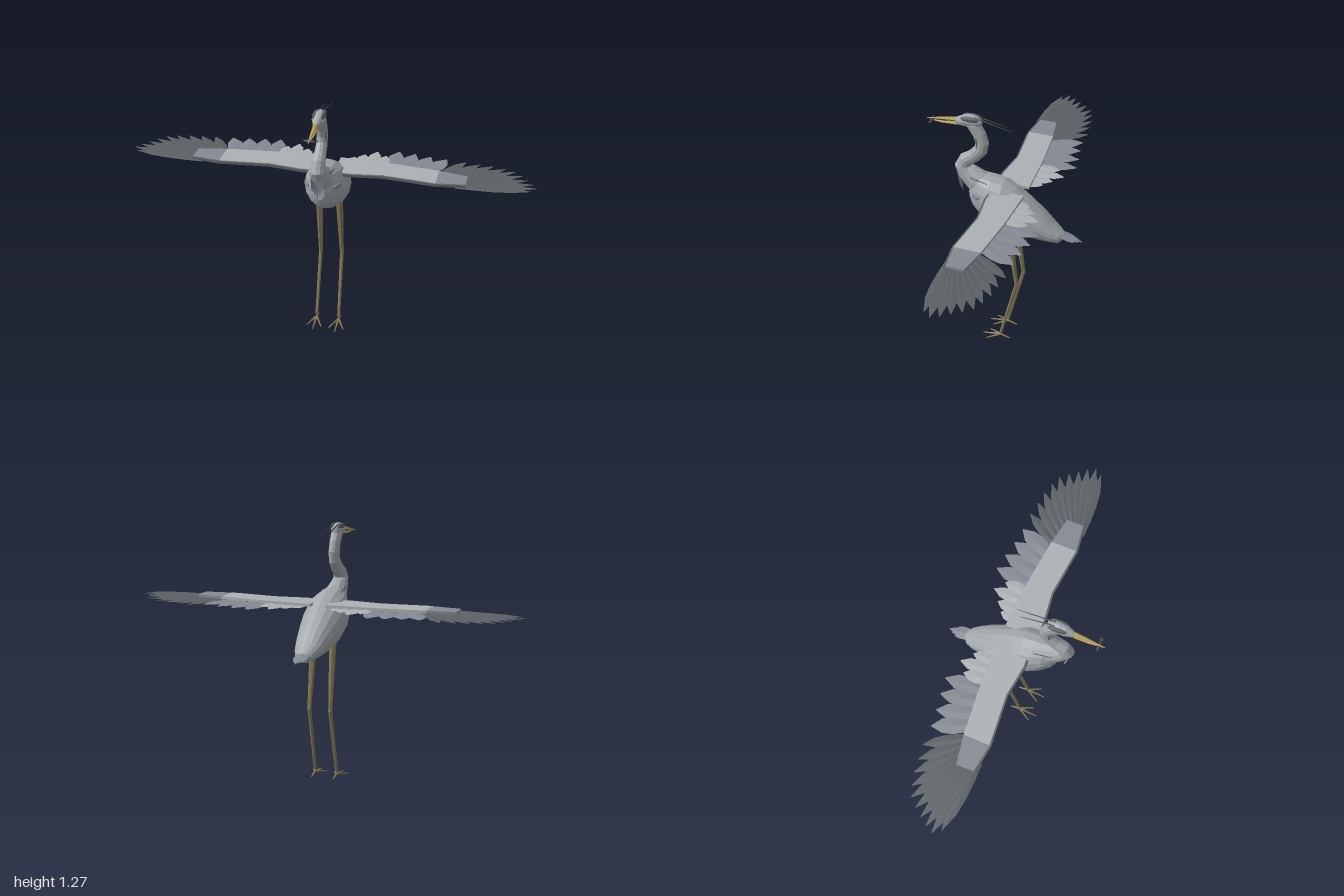
import * as THREE from 'three';

const mat = (name, color) => new THREE.MeshStandardMaterial({ name, color, flatShading: true, side: THREE.DoubleSide });
const V = (x, y, z) => new THREE.Vector3(x, y, z);

export function createModel() {
  const bird = new THREE.Group();
  bird.name = 'wadingBird';
  const grey = mat('body grey', 0xa3a8ac);
  const pale = mat('pale wing grey', 0xadb1b4);
  const slate = mat('slate grey', 0x858993);
  const dark = mat('dark feather', 0x5b6065);
  const black = mat('charcoal', 0x43474b);
  const legTan = mat('leg tan', 0x857a58);
  const horn = mat('beak ochre', 0xb59d58);
  const yellow = mat('eye yellow', 0xd8b840);

  const add = (parent, name, geo, material) => {
    const m = new THREE.Mesh(geo, material);
    m.name = name;
    parent.add(m);
    return m;
  };

  // Skin over rings [z, y, rx, ry]; rings are upright or square to the path
  function loft(rings, sides, upright) {
    const pos = [], idx = [], n = rings.length;
    rings.forEach(([z, y, rx, ry], i) => {
      const a = rings[Math.max(0, i - 1)], b = rings[Math.min(n - 1, i + 1)];
      const t = upright ? new THREE.Vector2(1, 0) : new THREE.Vector2(b[0] - a[0], b[1] - a[1]).normalize();
      for (let j = 0; j < sides; j++) {
        const q = (j / sides) * Math.PI * 2, c = Math.cos(q) * rx, s = Math.sin(q) * ry;
        pos.push(c, y + s * t.x, z - s * t.y);
        if (i < n - 1) {
          const k = (j + 1) % sides, r = i * sides;
          idx.push(r + j, r + k, r + sides + k, r + j, r + sides + k, r + sides + j);
        }
      }
    });
    for (let j = 1; j < sides - 1; j++) {
      const e = (n - 1) * sides;
      idx.push(0, j + 1, j, e, e + j, e + j + 1);
    }
    const g = new THREE.BufferGeometry();
    g.setAttribute('position', new THREE.Float32BufferAttribute(pos, 3));
    g.setIndex(idx);
    g.computeVertexNormals();
    return g;
  }

  // Tapered rod from a to b
  function rod(parent, name, a, b, ra, rb, material, sides = 7) {
    const m = add(parent, name, new THREE.CylinderGeometry(rb, ra, a.distanceTo(b), sides), material);
    m.position.copy(a).lerp(b, 0.5);
    m.quaternion.setFromUnitVectors(V(0, 1, 0), b.clone().sub(a).normalize());
    return m;
  }

  function blob(parent, name, p, s, material) {
    const m = add(parent, name, new THREE.SphereGeometry(1, 12, 8), material);
    m.position.copy(p);
    m.scale.copy(s);
    return m;
  }

  // Ridged leaf-shaped vane from base to tip
  function feather(parent, name, base, tip, width, material, ridge = 0.006) {
    const len = base.distanceTo(tip), g = new THREE.PlaneGeometry(1, 1, 2, 4), p = g.attributes.position;
    const half = [0.55, 0.85, 1, 0.85, 0.06];
    for (let i = 0; i < p.count; i++) {
      const x = p.getX(i), v = p.getY(i) + 0.5;
      p.setXYZ(i, x * width * half[Math.round(v * 4)], x === 0 ? ridge * (1 - v) : 0, v * len);
    }
    g.computeVertexNormals();
    const m = new THREE.Mesh(g, material);
    m.name = name;
    m.position.copy(base);
    m.lookAt(tip);
    parent.add(m);
  }

  // Flat plate from [x, z] corners
  function plate(parent, name, corners, y, depth, material) {
    const shape = new THREE.Shape(corners.map(([x, z]) => new THREE.Vector2(x, -z)));
    const g = new THREE.ExtrudeGeometry(shape, { depth, bevelEnabled: false }).rotateX(-Math.PI / 2);
    add(parent, name, g, material).position.y = y;
  }

  // Body, neck and head
  add(bird, 'body', loft([
    [-0.305, 0.685, 0.022, 0.014], [-0.285, 0.682, 0.045, 0.034], [-0.25, 0.697, 0.062, 0.048],
    [-0.2, 0.722, 0.076, 0.073], [-0.13, 0.753, 0.09, 0.102], [-0.06, 0.785, 0.102, 0.124],
    [0, 0.81, 0.107, 0.131], [0.06, 0.826, 0.101, 0.126], [0.115, 0.845, 0.08, 0.112],
    [0.155, 0.855, 0.052, 0.09], [0.174, 0.85, 0.025, 0.045]], 16, true), grey);
  add(bird, 'neck', loft([
    [0.08, 0.865, 0.06, 0.07], [0.14, 0.91, 0.055, 0.062], [0.19, 0.95, 0.043, 0.05],
    [0.212, 0.985, 0.037, 0.042], [0.196, 1.016, 0.033, 0.037], [0.155, 1.045, 0.029, 0.034],
    [0.12, 1.085, 0.027, 0.034], [0.112, 1.125, 0.026, 0.034], [0.126, 1.17, 0.026, 0.033],
    [0.15, 1.21, 0.027, 0.034], [0.18, 1.235, 0.025, 0.026]], 12, false), grey);
  add(bird, 'head', loft([
    [0.115, 1.232, 0.014, 0.015], [0.135, 1.234, 0.025, 0.027], [0.17, 1.234, 0.029, 0.032],
    [0.205, 1.231, 0.026, 0.029], [0.235, 1.224, 0.016, 0.02], [0.25, 1.222, 0.008, 0.012]], 12, true), grey);

  // Beak, slightly open, holding a small fish
  add(bird, 'upperBeak', loft([
    [0.225, 1.231, 0.013, 0.011], [0.3, 1.222, 0.009, 0.007], [0.39, 1.209, 0.002, 0.002]], 8, true), horn);
  add(bird, 'lowerBeak', loft([
    [0.215, 1.21, 0.012, 0.008], [0.31, 1.202, 0.008, 0.005], [0.375, 1.203, 0.002, 0.002]], 8, true), horn);
  blob(bird, 'fishBody', V(0, 1.206, 0.363), V(0.03, 0.007, 0.009), black);
  feather(bird, 'fishTail', V(0.022, 1.206, 0.363), V(0.042, 1.207, 0.361), 0.016, black, 0.002);

  for (const s of [1, -1]) {
    // Eye stripe, eye and trailing crest plume
    blob(bird, 'crownStripe', V(s * 0.019, 1.249, 0.168), V(0.011, 0.014, 0.046), dark);
    blob(bird, 'eye', V(s * 0.026, 1.236, 0.204), V(0.003, 0.005, 0.005), yellow);
    rod(bird, 'crestPlume', V(s * 0.009, 1.259, 0.15), V(s * 0.014, s > 0 ? 1.22 : 1.224, s > 0 ? -0.04 : -0.01), 0.004, 0.001, black, 5);
    // Shoulder patch and back streaks
    const patch = blob(bird, 'shoulderPatch', V(s * 0.074, 0.863, 0.122), V(0.008, 0.014, 0.028), slate);
    patch.rotation.y = -s * 0.55;
    rod(bird, 'backStreak', V(s * 0.043, 0.945, 0.16), V(s * 0.052, 0.93, 0.07), 0.004, 0.002, dark, 5);
    rod(bird, 'neckStreak', V(s * 0.022, 1.155, 0.136), V(s * 0.023, 1.1, 0.13), 0.004, 0.002, dark, 5);
  }

  // Chest plumes and tail fan
  for (let i = -2; i <= 2; i++) {
    feather(bird, 'chestPlume', V(i * 0.009, 0.965, 0.236), V(i * 0.013, 0.832 + Math.abs(i) * 0.018, 0.214), 0.014, slate, 0.003);
    feather(bird, 'tailFeather', V(i * 0.006, 0.702, -0.265), V(i * 0.012, 0.667 + Math.abs(i) * 0.002, -0.4 + Math.abs(i) * 0.02), 0.03, slate, 0.004);
  }

  // Wings
  // Each feather row: base x, base z, tip x, tip z
  const tertials = [[0.1, -0.06, 0.1, -0.16], [0.14, -0.07, 0.145, -0.195], [0.19, -0.07, 0.2, -0.237], [0.24, -0.07, 0.25, -0.2]];
  const secondaries = [[0.29, -0.05, 0.305, -0.268], [0.35, -0.05, 0.385, -0.258], [0.41, -0.05, 0.465, -0.243], [0.465, -0.05, 0.545, -0.232]];
  const primaries = [[0.52, -0.04, 0.64, -0.232], [0.55, -0.035, 0.71, -0.222], [0.575, -0.03, 0.775, -0.215],
    [0.6, -0.02, 0.835, -0.198], [0.62, -0.01, 0.885, -0.178], [0.63, 0, 0.92, -0.14], [0.64, 0.01, 0.95, -0.1],
    [0.645, 0.022, 0.978, -0.062], [0.64, 0.034, 0.998, -0.025], [0.62, 0.042, 0.97, 0.012]];
  for (const s of [1, -1]) {
    const wing = new THREE.Group();
    wing.name = s > 0 ? 'leftWing' : 'rightWing';
    bird.add(wing);
    const flip = pts => pts.map(([x, z]) => [x * s, z]);
    plate(wing, 'innerWing', flip([[0.04, 0.045], [0.12, 0.05], [0.28, 0.03], [0.53, 0.054], [0.53, -0.075], [0.28, -0.1], [0.04, -0.11]]), 0.885, 0.014, pale);
    plate(wing, 'wingHand', flip([[0.53, 0.054], [0.67, 0.036], [0.67, -0.05], [0.53, -0.075]]), 0.885, 0.013, slate);
    plate(wing, 'leadingEdge', flip([[0.06, 0.06], [0.12, 0.06], [0.28, 0.039], [0.53, 0.063], [0.67, 0.045], [0.67, 0.036], [0.53, 0.054], [0.28, 0.03], [0.06, 0.045]]), 0.884, 0.012, dark);
    const row = (list, name, width, y, material) => list.forEach(([bx, bz, tx, tz], i) =>
      feather(wing, name, V(s * bx, y + i * 0.0006, bz), V(s * tx, y + i * 0.0006, tz), width, material));
    row(tertials, 'tertialFeather', 0.064, 0.883, pale);
    row(secondaries, 'secondaryFeather', 0.082, 0.881, slate);
    row(primaries, 'primaryFeather', 0.056, 0.878, dark);
  }

  // Legs and feet
  for (const s of [1, -1]) {
    const leg = new THREE.Group();
    leg.name = s > 0 ? 'leftLeg' : 'rightLeg';
    bird.add(leg);
    const x = s * 0.055, knee = V(x, 0.367, -0.082), ball = V(s * 0.058, 0.019, 0.002);
    rod(leg, 'thigh', V(s * 0.05, 0.71, -0.035), knee, 0.019, 0.01, legTan);
    blob(leg, 'knee', knee, V(0.011, 0.013, 0.011), legTan);
    rod(leg, 'shin', knee, V(s * 0.058, 0.034, 0.001), 0.01, 0.008, legTan);
    for (const [dx, z] of [[-0.038, 0.07], [0, 0.098], [0.038, 0.07], [0, -0.048]])
      rod(leg, 'toe', ball, V(ball.x + dx, 0.003, z), 0.006, 0.003, legTan, 6);
  }
  return bird;
}
